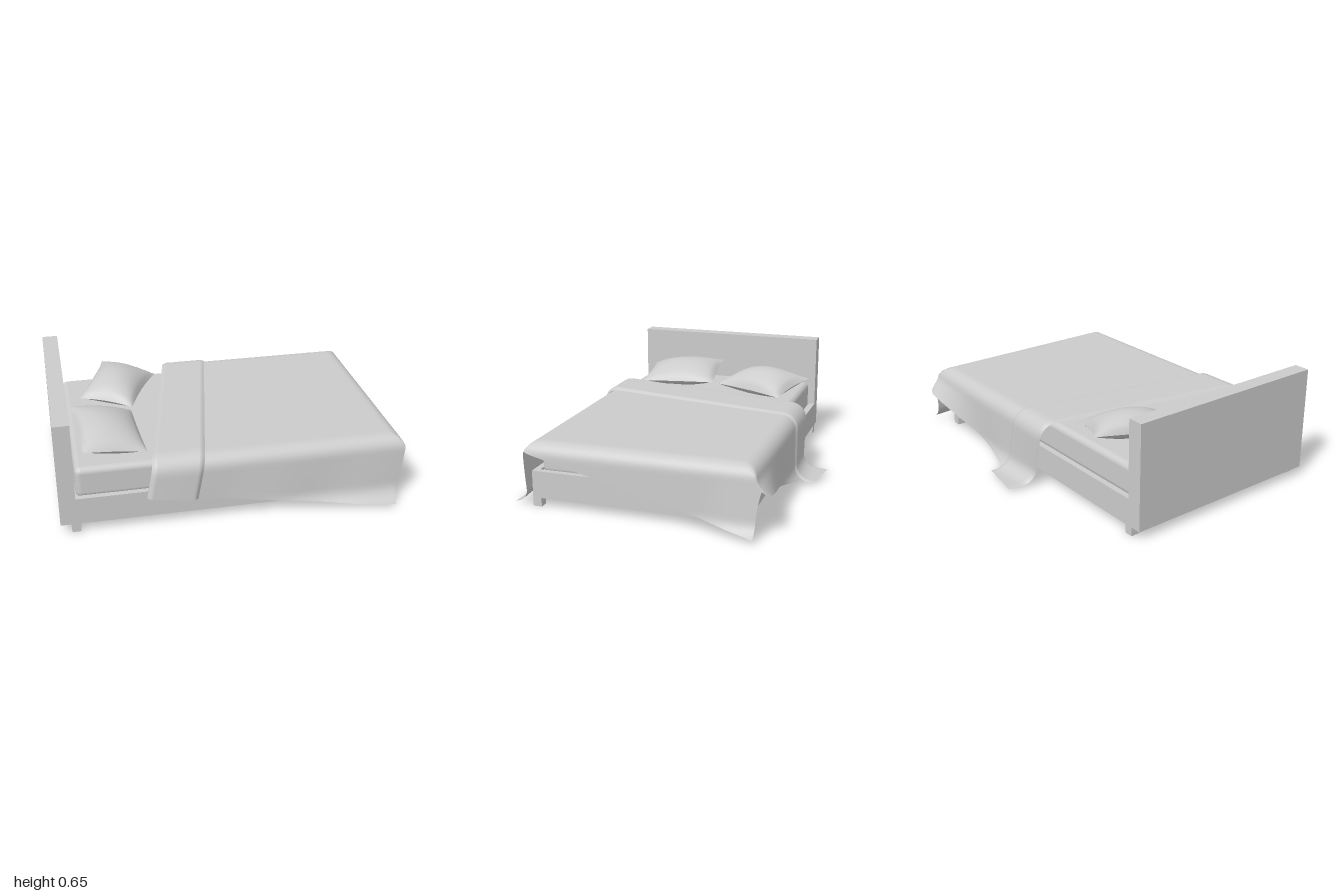
import * as THREE from 'three';
import { RoundedBoxGeometry } from 'three/addons/geometries/RoundedBoxGeometry.js';
import { ParametricGeometry } from 'three/addons/geometries/ParametricGeometry.js';

const solid = new THREE.MeshStandardMaterial({ color: 0xcccccc });
const cloth = new THREE.MeshStandardMaterial({ color: 0xcccccc, side: THREE.DoubleSide });

function add(group, name, geometry, material = solid) {
  const mesh = new THREE.Mesh(geometry, material);
  mesh.name = name;
  group.add(mesh);
}

// Box given by its minimum and maximum corners
function box(group, name, x0, x1, y0, y1, z0, z1, round = 0) {
  const size = [x1 - x0, y1 - y0, z1 - z0];
  const geometry = round
    ? new RoundedBoxGeometry(...size, 4, round)
    : new THREE.BoxGeometry(...size);
  geometry.translate((x0 + x1) / 2, (y0 + y1) / 2, (z0 + z1) / 2);
  add(group, name, geometry);
}

function sheet(group, name, fn, nu, nv) {
  const geometry = new ParametricGeometry(fn, nu, nv);
  geometry.computeVertexNormals();
  add(group, name, geometry, cloth);
}

// Point inside a four-cornered patch; corners run a (0,0), d (1,0), c (1,1), b (0,1)
const patch = ([a, d, c, b], u, v, i) =>
  (a[i] * (1 - u) + d[i] * u) * (1 - v) + (b[i] * (1 - u) + c[i] * u) * v;

const clamp01 = (t) => Math.min(1, Math.max(0, t));

// Drapes cloth: round the rim, hang down, then curve out and slide along the floor
const RIM = 0.08, SWEEP = 0.09, TOP = 0.385, FLOOR = 0.012;
function bend(e, flare, lift) {
  if (e <= 0) return { out: 0, y: TOP + lift };
  const angle = Math.min(e / RIM, Math.PI / 2);
  const hang = Math.max(0, e - RIM * Math.PI / 2);
  let y = TOP - RIM + (RIM + lift) * Math.cos(angle) - hang;
  let out = (RIM + lift) * Math.sin(angle) + flare * hang;
  const past = FLOOR + SWEEP - y;
  if (past > 0) {
    const turn = Math.min(past / SWEEP, Math.PI / 2);
    y = FLOOR + SWEEP * (1 - Math.sin(turn)) + lift * Math.sin(turn);
    out += SWEEP * (1 - Math.cos(turn)) + Math.max(0, past - SWEEP * Math.PI / 2);
  }
  return { out, y };
}
function drape(px, pz, lift, target) {
  const X = 0.86, FRONT = 0.61, BACK = -0.53;
  // the back corner at the foot stands off from the bed
  const corner = clamp01((px - 0.2) / 0.7) ** 3 * (1 - clamp01((px - 0.95) / 0.3));
  const ripple = 0.02 * Math.sin(px * 11);
  const foot = bend(px - X, 0.02 + 0.06 * clamp01((-0.3 - pz) / 0.15), lift);
  const front = bend(pz - FRONT, 0.04 + ripple, lift);
  const back = bend(BACK - pz, 0.03 + ripple + 0.8 * corner, lift);
  target.set(
    Math.min(px, X) + foot.out,
    Math.min(foot.y, front.y, back.y),
    Math.min(FRONT, Math.max(BACK, pz)) + front.out - back.out
  );
}

// Pillow: two bulging sheets sharing a pinched, concave outline
function pillow(group, name, corners, rise, sink, pinch) {
  const p = new THREE.Group();
  p.name = name;
  const side = (sign) => (a, b, target) => {
    const [s, t] = sign > 0 ? [a, b] : [b, a];
    const u = s * 2 - 1, v = t * 2 - 1;
    const U = (u * (1 - pinch * (1 - v * v)) + 1) / 2;
    const V = (v * (1 - pinch * (1 - u * u)) + 1) / 2;
    const puff = Math.max(0, (1 - u * u) * (1 - v * v)) ** 0.6;
    const y = patch(corners, U, V, 1) + (sign > 0 ? rise : -sink) * puff;
    target.set(patch(corners, U, V, 0), Math.max(0.365, y), patch(corners, U, V, 2));
  };
  sheet(p, 'pillowTop', side(1), 24, 24);
  sheet(p, 'pillowUnderside', side(-1), 24, 24);
  group.add(p);
}

export function createModel() {
  const bed = new THREE.Group();
  bed.name = 'bed';

  // Headboard, rails and recessed base
  box(bed, 'headboard', -1, -0.91, 0.05, 0.65, -0.54, 0.67);
  box(bed, 'frontRail', -0.91, 0.88, 0.05, 0.205, 0.635, 0.67);
  box(bed, 'backRail', -0.91, 0.88, 0.05, 0.205, -0.54, -0.505);
  box(bed, 'footRail', 0.845, 0.88, 0.05, 0.205, -0.505, 0.635);
  box(bed, 'basePanel', -0.91, 0.845, 0.06, 0.19, -0.505, 0.635);

  // Legs
  for (const x of [-0.94, 0.83])
    for (const z of [-0.54, 0.62]) box(bed, 'leg', x, x + 0.05, 0, 0.05, z, z + 0.05);

  box(bed, 'mattress', -0.905, 0.84, 0.18, 0.362, -0.5, 0.63, 0.035);

  // Pillows
  pillow(bed, 'frontPillow',
    [[-0.85, 0.43, 0.58], [-0.5, 0.385, 0.55], [-0.53, 0.4, 0.07], [-0.88, 0.475, 0.1]], 0.08, 0.07, 0.03);
  pillow(bed, 'backPillow',
    [[-0.82, 0.42, -0.1], [-0.52, 0.4, 0.04], [-0.32, 0.39, -0.42], [-0.64, 0.45, -0.55]], 0.1, 0.06, 0.09);

  // Blanket lying askew, given by its flat corners (x, z)
  const blanket = [[-0.53, 0.85], [0.87, 1.07], [1.29, -0.63], [-0.13, -1.01]];
  sheet(bed, 'blanket', (u, v, target) =>
    drape(patch(blanket, u, v, 0), patch(blanket, u, v, 1), 0, target), 72, 96);

  // Turned-back strip along the head edge, rising from the fold and thinner at the back
  const fold = [[-0.53, 0.86], [-0.25, 0.9], [0.11, -1.01], [-0.15, -1.07]];
  sheet(bed, 'blanketFold', (u, v, target) => {
    const lift = 0.003 + (0.016 - 0.008 * v) * Math.min(1, u * 14, (1 - u) * 14);
    drape(patch(fold, u, v, 0), patch(fold, u, v, 1), lift, target);
  }, 28, 96);

  return bed;
}
